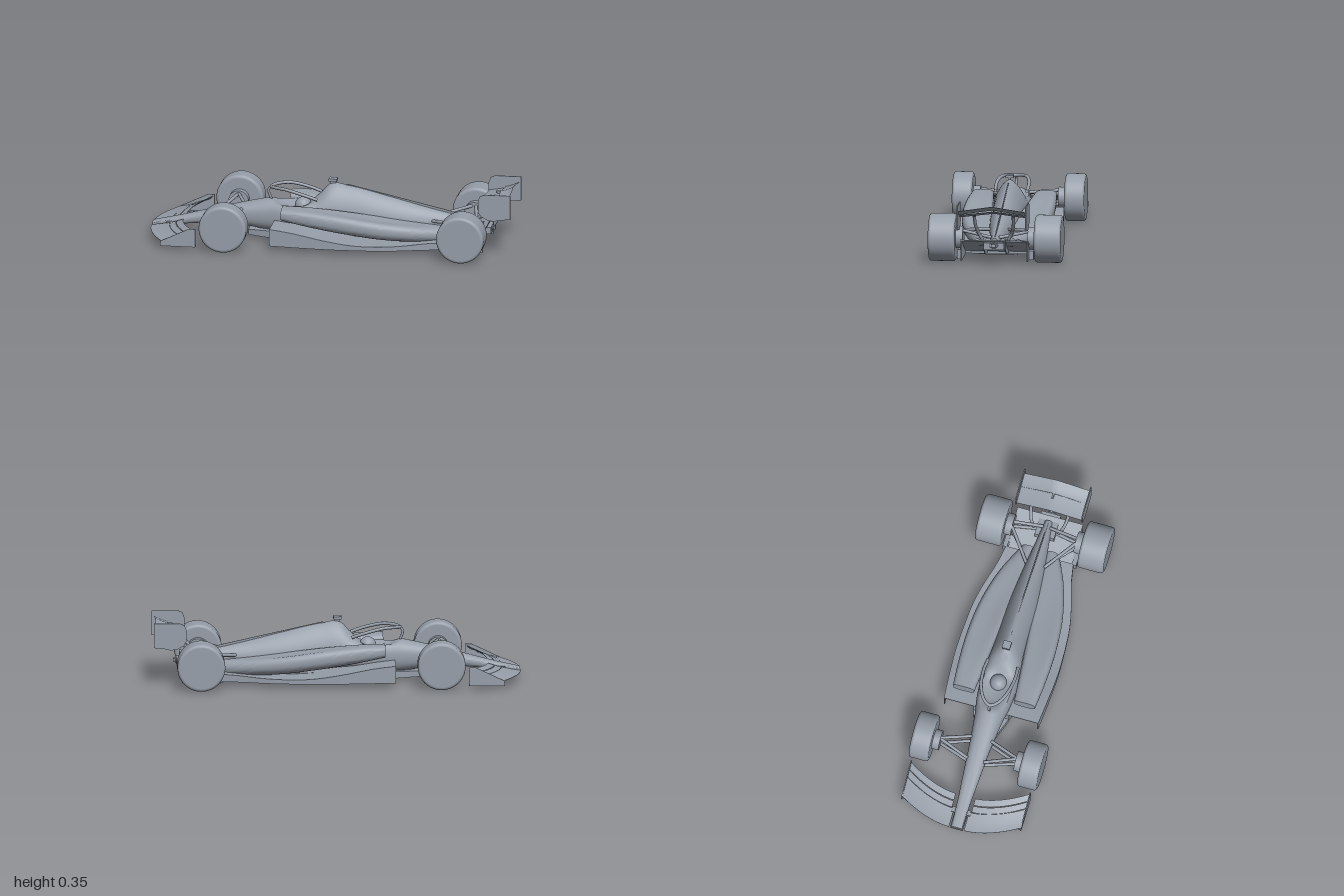
import * as THREE from 'three';
import { toCreasedNormals } from 'three/addons/utils/BufferGeometryUtils.js';

const grey = new THREE.MeshStandardMaterial({ color: 0x969ea9, side: THREE.DoubleSide });
grey.name = 'bare grey';
const V = (x, y, z) => new THREE.Vector3(x, y, z);

// Closed skin through equal rings of points, with flat end caps
function loft(rings, crease = 0.6) {
  const n = rings[0].length, pos = [], idx = [];
  rings.forEach(r => r.forEach(p => pos.push(p.x, p.y, p.z)));
  for (let i = 0; i < rings.length - 1; i++) {
    for (let k = 0; k < n; k++) {
      const a = i * n + k, b = i * n + (k + 1) % n;
      idx.push(a, a + n, b + n, a, b + n, b);
    }
  }
  [0, rings.length - 1].forEach((i, end) => {
    const c = rings[i].reduce((s, p) => s.add(p), V(0, 0, 0)).divideScalar(n);
    pos.push(c.x, c.y, c.z);
    const ci = pos.length / 3 - 1;
    for (let k = 0; k < n; k++) {
      const a = i * n + k, b = i * n + (k + 1) % n;
      idx.push(ci, end ? b : a, end ? a : b);
    }
  });
  const g = new THREE.BufferGeometry();
  g.setAttribute('position', new THREE.Float32BufferAttribute(pos, 3));
  g.setIndex(idx);
  return toCreasedNormals(g, crease);
}

// Smoothly resample rows of [x, ...values]
function sample(rows, count) {
  const f = new THREE.CubicInterpolant(rows.map(r => r[0]), rows.flatMap(r => r.slice(1)), rows[0].length - 1);
  const x0 = rows[0][0], x1 = rows[rows.length - 1][0];
  return Array.from({ length: count + 1 }, (_, i) => {
    const x = x0 + (x1 - x0) * i / count;
    return [x, ...f.evaluate(x)];
  });
}

// Rows: x, centre z, half width, top, bottom, roundness, hollow in the top
function hull(rows, count = 50, n = 40) {
  return loft(sample(rows, count).map(([x, cz, w, top, bot, e, dip]) =>
    Array.from({ length: n }, (_, k) => {
      const a = k / n * Math.PI * 2, c = Math.cos(a), s = Math.sin(a);
      const u = Math.sign(c) * Math.abs(c) ** (2 / e), v = Math.sign(s) * Math.abs(s) ** (2 / e);
      const hollow = s > 0 ? Math.max(0, dip) * Math.max(0, 1 - (u / 0.8) ** 2) : 0;
      return V(x, (top + bot) / 2 + v * (top - bot) / 2 - hollow, cz + u * w);
    })));
}

// Thin wing: at(s, t) gives a point across the span s and along the chord t
function wing(at, t0, t1, thick, spans = 16) {
  return loft(Array.from({ length: spans + 1 }, (_, i) => {
    const top = [], low = [];
    for (let k = 0; k <= 5; k++) {
      const p = at(i / spans, t0 + (t1 - t0) * k / 5);
      const h = thick * (0.25 + 0.75 * Math.sin(Math.PI * k / 5));
      top.push(p);
      low.unshift(V(p.x, p.y - h, p.z));
    }
    return [...top, ...low];
  }));
}

// Box-section ring across z, from z0 up to z1
const slice = (x, y0, y1, z0, z1) => [V(x, y0, z1), V(x, y1, z1), V(x, y1, z0), V(x, y0, z0)];

// Upright sheet from an x-y outline
function sheet(points, z, t = 0.006) {
  const shape = new THREE.Shape(points.map(p => new THREE.Vector2(...p)));
  return new THREE.ExtrudeGeometry(shape, { depth: t, bevelEnabled: false }).translate(0, 0, z - t / 2);
}

const box = (w, h, d, x, y, z) => new THREE.BoxGeometry(w, h, d).translate(x, y, z);
const tube = (pts, r, n = 24) => new THREE.TubeGeometry(new THREE.CatmullRomCurve3(pts.map(p => V(...p))), n, r, 10);

// Tyre with rounded shoulders and a flat disc cover
function tyre(r, w, x, y, z) {
  const b = 0.016, pts = [[0, -w / 2], [r - b - 0.002, -w / 2]];
  for (const side of [-1, 1]) {
    for (let i = 0; i <= 5; i++) {
      const a = (side < 0 ? i - 5 : i) / 5 * Math.PI / 2;
      pts.push([r - b + b * Math.cos(a), side * (w / 2 - b) + b * Math.sin(a)]);
    }
  }
  pts.push([r - b - 0.002, w / 2], [0, w / 2]);
  return new THREE.LatheGeometry(pts.map(p => new THREE.Vector2(...p)), 64).rotateX(Math.PI / 2).translate(x, y, z);
}
const hub = (r, d, x, y, z) => new THREE.CylinderGeometry(r, r, d, 32).rotateX(Math.PI / 2).translate(x, y, z);

export function createModel() {
  const car = new THREE.Group();
  car.name = 'racingCar';
  const add = (name, geo) => {
    const m = new THREE.Mesh(geo, grey);
    m.name = name;
    car.add(m);
  };
  const pair = (name, make) => [1, -1].forEach(s => add((s > 0 ? 'left' : 'right') + name, make(s)));

  // Nose, cockpit and engine cover in one skin
  add('body', hull([
    [-0.995, 0, 0.03, 0.064, 0.042, 3, 0], [-0.85, 0, 0.036, 0.098, 0.054, 2.8, 0],
    [-0.7, 0, 0.047, 0.137, 0.068, 2.6, 0], [-0.56, 0, 0.057, 0.173, 0.074, 2.6, 0],
    [-0.45, 0, 0.068, 0.2, 0.06, 2.5, 0], [-0.35, 0, 0.08, 0.221, 0.045, 2.4, 0],
    [-0.28, 0, 0.093, 0.229, 0.04, 2.4, 0.04], [-0.15, 0, 0.102, 0.238, 0.035, 2.3, 0.045],
    [-0.09, 0, 0.1, 0.25, 0.035, 2, 0], [-0.02, 0, 0.09, 0.318, 0.035, 1.55, 0],
    [0.08, 0, 0.083, 0.312, 0.035, 1.5, 0], [0.3, 0, 0.077, 0.262, 0.035, 1.55, 0],
    [0.5, 0, 0.06, 0.212, 0.04, 1.7, 0], [0.65, 0, 0.042, 0.178, 0.05, 2, 0],
    [0.82, 0, 0.022, 0.142, 0.08, 2, 0]], 110, 48));
  add('engineFin', sheet([[0.03, 0.31], [0.08, 0.317], [0.62, 0.197], [0.8, 0.15], [0.8, 0.12], [0.03, 0.2]], 0));
  add('helmet', new THREE.SphereGeometry(0.046, 32, 20).translate(-0.17, 0.188, 0));

  // Protective hoop over the cockpit
  add('haloHoop', tube([[-0.08, 0.245, 0.085], [-0.15, 0.268, 0.089], [-0.25, 0.291, 0.075], [-0.32, 0.291, 0.04],
    [-0.345, 0.286, 0], [-0.32, 0.291, -0.04], [-0.25, 0.291, -0.075], [-0.15, 0.268, -0.089], [-0.08, 0.245, -0.085]], 0.009, 60));
  add('haloPillar', tube([[-0.345, 0.288, 0], [-0.36, 0.265, 0], [-0.345, 0.215, 0]], 0.007));
  add('cameraPost', box(0.03, 0.04, 0.012, -0.005, 0.322, 0));
  add('cameraPod', box(0.045, 0.014, 0.044, -0.005, 0.341, 0));

  // Sidepods with a groove along the top
  pair('Sidepod', s => hull([
    [-0.258, s * 0.172, 0.06, 0.222, 0.155, 3.2, 0], [-0.1, s * 0.171, 0.073, 0.22, 0.122, 2.8, 0.008],
    [0.1, s * 0.162, 0.085, 0.205, 0.088, 2.5, 0.02], [0.3, s * 0.138, 0.09, 0.177, 0.06, 2.4, 0.022],
    [0.5, s * 0.1, 0.076, 0.147, 0.045, 2.2, 0.012], [0.66, s * 0.065, 0.04, 0.122, 0.04, 2, 0]]));

  // Floor: a thin sheet raised at the front, edge curtains and a low centre tub
  const floorRows = sample([[-0.315, 0.263, 0.12, 0.1], [-0.2, 0.273, 0.108, 0.13], [0, 0.284, 0.073, 0.19],
    [0.15, 0.28, 0.053, 0.24], [0.3, 0.267, 0.05, 0.25], [0.42, 0.24, 0.054, 0.232],
    [0.53, 0.208, 0.062, 0.202], [0.64, 0.188, 0.068, 0.183]], 30);
  add('floorSheet', loft(floorRows.map(([x, w, h]) => slice(x, h - 0.006, h, -w, w))));
  add('floorTub', loft(floorRows.map(([x, , h, tub]) => slice(x, 0.026, h - 0.004, -tub, tub))));
  pair('FloorCurtain', s => loft(floorRows.map(([x, w, h]) => slice(x, 0.026, h, s * w - 0.003, s * w + 0.003))));
  add('plank', loft([slice(-0.465, 0.02, 0.05, -0.045, 0.045), slice(-0.315, 0.02, 0.06, -0.1, 0.1),
    slice(0.63, 0.02, 0.05, -0.107, 0.107)]));

  // Diffuser ramp, walls and centre channel
  add('diffuserRamp', loft([[0.62, 0.032], [0.72, 0.07], [0.85, 0.13]].map(([x, y]) => slice(x, y, y + 0.007, -0.185, 0.185))));
  pair('DiffuserWall', s => sheet([[0.62, 0.02], [0.845, 0.02], [0.85, 0.135], [0.72, 0.075], [0.62, 0.05]], s * 0.18));
  pair('FloorTail', s => box(0.15, 0.05, 0.025, 0.71, 0.045, s * 0.195));
  pair('DiffuserStrake', s => sheet([[0.62, 0.03], [0.76, 0.045], [0.84, 0.085], [0.84, 0.127], [0.72, 0.072]], s * 0.058, 0.004));
  add('crashStructure', box(0.14, 0.038, 0.11, 0.8, 0.106, 0));
  add('tailLight', new THREE.TorusGeometry(0.014, 0.004, 10, 28).scale(1.3, 0.9, 1).rotateY(Math.PI / 2).translate(0.873, 0.112, 0));
  add('tailLightBase', box(0.02, 0.018, 0.025, 0.877, 0.112, 0));

  // Front wing: three swept elements each side and end plates
  const frontCuts = [[0, 0.57, 0.042], [0.59, 0.78, 0.055], [0.8, 1, 0.055]];
  for (const [a, b, inner] of frontCuts) {
    pair('FrontWingElement', side => wing((s, t) => {
      const q = side > 0 ? s : 1 - s;
      const le = -0.998 + 0.1 * q ** 1.8, te = -0.818 + 0.1 * q ** 1.8;
      return V(le + (te - le) * t, 0.05 + (0.045 + 0.02 * q) * t ** 1.4, side * (inner + (0.335 - inner) * q));
    }, a, b, 0.009));
  }
  add('noseTip', box(0.1, 0.016, 0.07, -0.947, 0.046, 0));
  pair('NoseMount', s => box(0.03, 0.012, 0.03, -0.9, 0.066, s * 0.038));
  pair('FrontEndPlate', s => sheet([[-0.905, 0.022], [-0.71, 0.022], [-0.71, 0.124], [-0.745, 0.124], [-0.9, 0.05]], s * 0.336));
  pair('FrontEndFoot', s => box(0.19, 0.006, 0.022, -0.805, 0.025, s * 0.328));

  // Rear wing: two peaked planes, end plates and pylons
  const rearPlane = (x0, x1, y0, y1, peak) => (s, t) => {
    const z = (s * 2 - 1) * 0.185, lift = peak * (1 - Math.abs(s * 2 - 1));
    return V(x0 + (x1 - x0) * t, y0 + (y1 - y0) * t ** 1.4 + lift, z);
  };
  add('rearMainPlane', wing(rearPlane(0.825, 0.925, 0.268, 0.286, 0.022), 0, 1, 0.01));
  add('rearFlap', wing(rearPlane(0.915, 0.985, 0.29, 0.317, 0.028), 0, 1, 0.008));
  add('flapActuator', box(0.05, 0.012, 0.01, 0.915, 0.312, 0));
  pair('RearEndPlate', s => sheet([[0.82, 0.25], [0.835, 0.225], [0.87, 0.206], [0.905, 0.2], [0.94, 0.208], [0.998, 0.214],
    [0.998, 0.348], [0.855, 0.348], [0.83, 0.337], [0.82, 0.31]], s * 0.187));
  pair('WingPylon', s => tube([[0.77, 0.125, s * 0.07], [0.79, 0.165, s * 0.09], [0.83, 0.215, s * 0.103], [0.87, 0.276, s * 0.107]], 0.009));

  // Wheels, hubs and suspension arms
  pair('FrontWheel', s => tyre(0.13, 0.11, -0.56, 0.132, s * 0.306));
  pair('RearWheel', s => tyre(0.13, 0.146, 0.745, 0.132, s * 0.289));
  pair('FrontHub', s => hub(0.055, 0.045, -0.56, 0.132, s * 0.235));
  pair('RearHub', s => hub(0.06, 0.045, 0.745, 0.132, s * 0.2));
  const arms = [
    [[-0.56, 0.17, 0.22], [-0.62, 0.142, 0.045]], [[-0.56, 0.17, 0.22], [-0.5, 0.165, 0.055]],
    [[-0.56, 0.09, 0.22], [-0.62, 0.095, 0.045]], [[-0.56, 0.09, 0.22], [-0.5, 0.09, 0.055]],
    [[0.73, 0.172, 0.185], [0.55, 0.145, 0.05]], [[0.75, 0.172, 0.185], [0.78, 0.14, 0.02]],
    [[0.73, 0.1, 0.185], [0.58, 0.1, 0.05]], [[0.75, 0.1, 0.185], [0.78, 0.1, 0.02]]];
  for (const arm of arms) {
    pair('SuspensionArm', s => tube(arm.map(([x, y, z]) => [x, y, s * z]), 0.009, 2));
  }
  return car;
}
